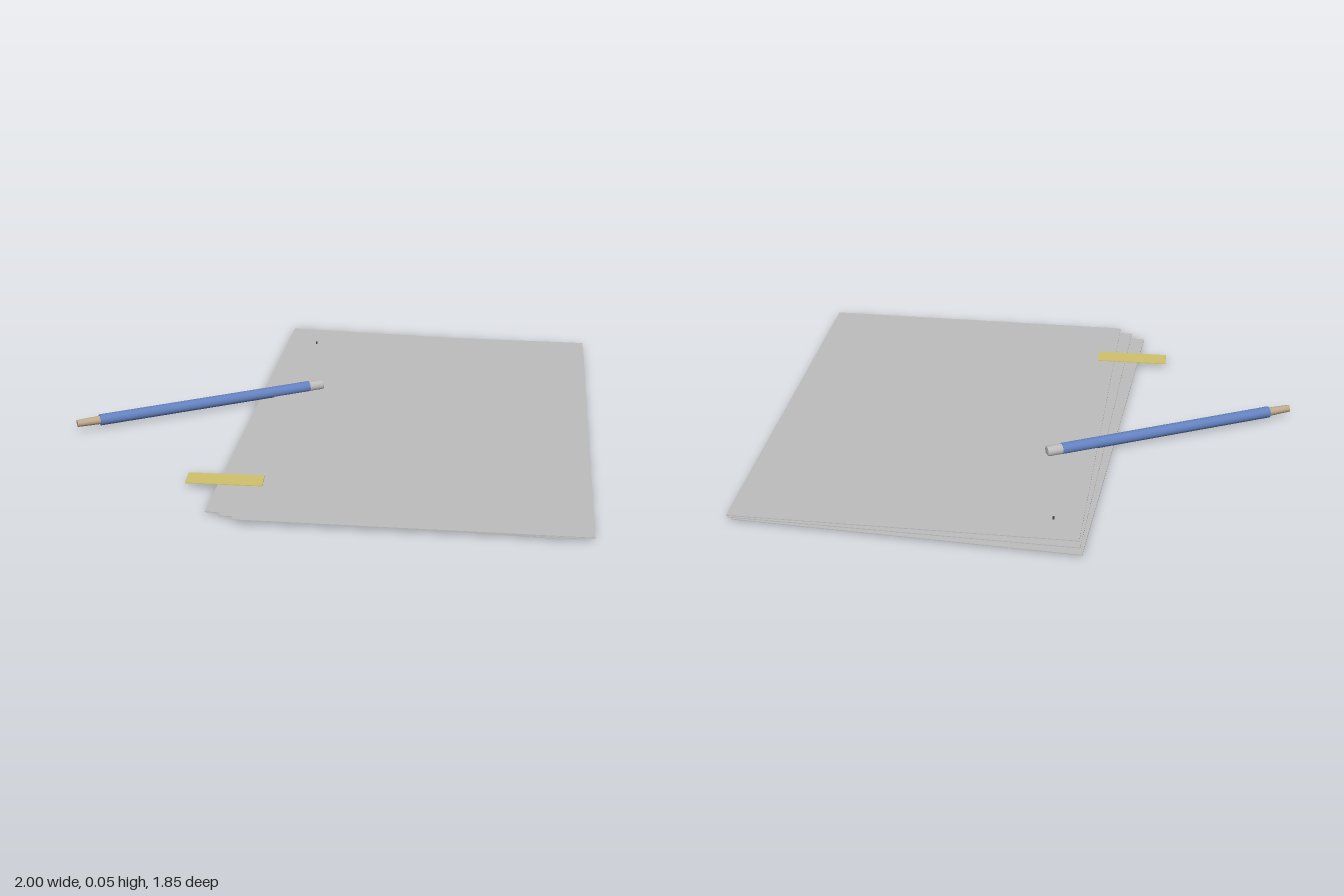
import * as THREE from 'three';

const mat = (name, color) => {
  const m = new THREE.MeshStandardMaterial({ color });
  m.name = name;
  return m;
};

export function createModel() {
  const paper = mat('paper grey', 0xbebebe);
  const yellow = mat('tab yellow', 0xd2c26c);
  const blue = mat('pen blue', 0x6482c0);
  const tan = mat('tip tan', 0xbfa98c);
  const silver = mat('cap silver', 0xbcbcbc);
  const dark = mat('pin dark', 0x4a4a4a);

  const model = new THREE.Group();
  const add = (parent, name, geometry, material, x, y, z) => {
    const mesh = new THREE.Mesh(geometry, material);
    mesh.name = name;
    mesh.position.set(x, y, z);
    parent.add(mesh);
    return mesh;
  };
  const rad = THREE.MathUtils.degToRad;

  // Fanned stack of sheets, bottom to top: x, y, z, turn in degrees
  const sheets = new THREE.Group();
  sheets.name = 'paperStack';
  model.add(sheets);
  [[0.24, 0.007, -0.012, 10.9], [0.27, 0.013, 0.01, 9.4], [0.295, 0.019, 0.03, 7.9]]
    .forEach(([x, y, z, turn], i) => {
      add(sheets, `sheet${i + 1}`, new THREE.BoxGeometry(1.19, 0.003, 1.64), paper, x, y, z)
        .rotation.y = -rad(turn);
    });

  // Sticky tab over the left edge
  add(model, 'stickyTab', new THREE.BoxGeometry(0.267, 0.003, 0.077), yellow, -0.437, 0.0235, 0.479)
    .rotation.y = -rad(7);

  // Small pins through the stack
  for (const [x, z] of [[-0.10, -0.73], [-0.14, -0.27]]) {
    add(model, 'pin', new THREE.CylinderGeometry(0.004, 0.003, 0.03, 8), dark, x, 0.015, z);
  }

  // Pen, built along local +x from the tip
  const pen = new THREE.Group();
  pen.name = 'pen';
  pen.position.set(-0.995, 0.033, 0.032);
  pen.rotation.y = Math.atan2(0.325, 0.91);
  model.add(pen);
  const turned = (name, points, material) => {
    const geo = new THREE.LatheGeometry(points.map(([r, l]) => new THREE.Vector2(r, l)), 20);
    geo.rotateZ(-Math.PI / 2);
    add(pen, name, geo, material, 0, 0, 0);
  };
  turned('penTip', [[0, 0], [0.013, 0], [0.013, 0], [0.016, 0.09]], tan);
  turned('penBody', [[0, 0.085], [0.021, 0.085], [0.021, 0.085], [0.021, 0.91], [0.021, 0.91], [0, 0.91]], blue);
  turned('penCap', [[0.02, 0.905], [0.02, 0.96], [0.018, 0.966], [0.018, 0.966], [0, 0.967]], silver);

  return model;
}
